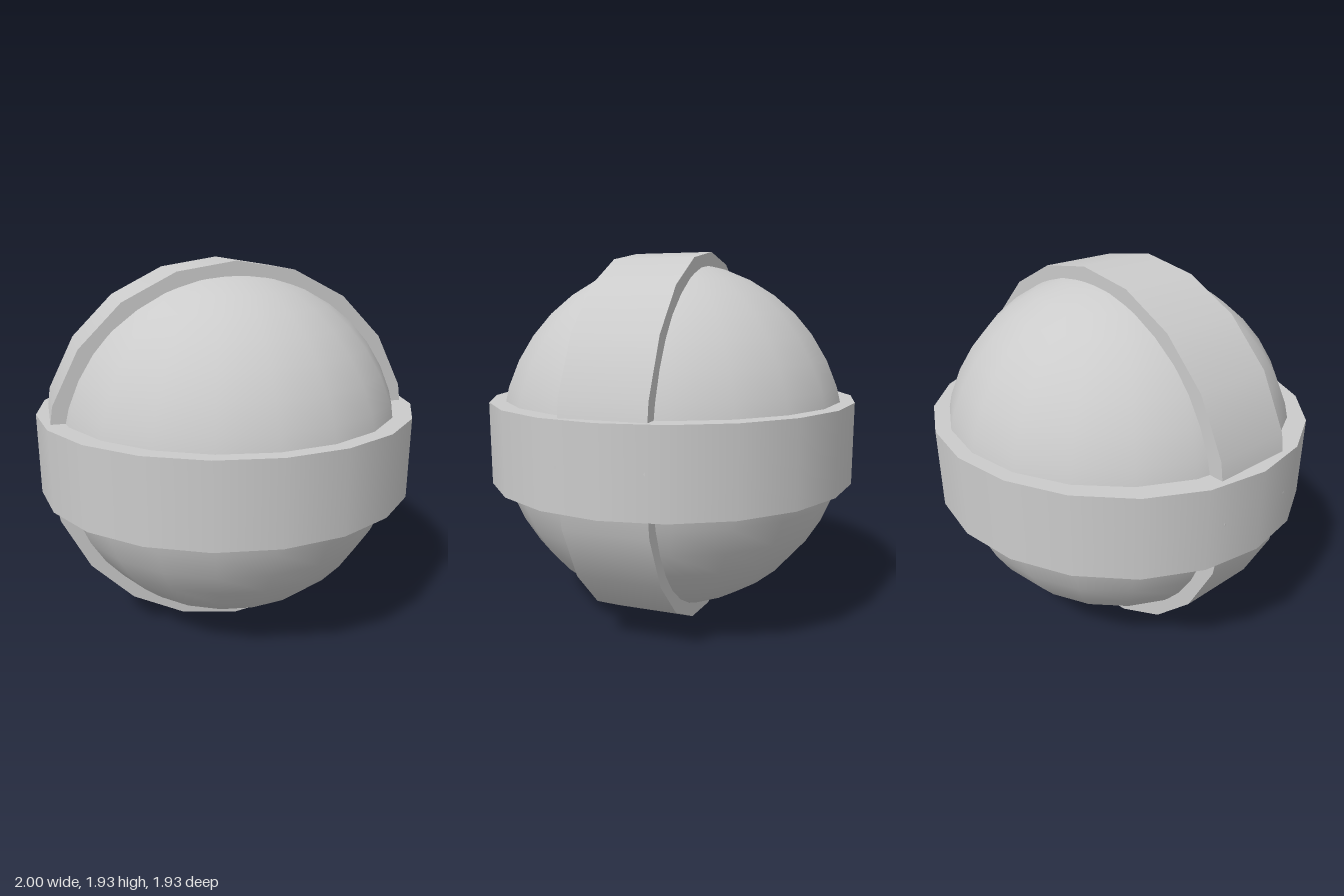
import * as THREE from 'three';

export function createModel() {
  const group = new THREE.Group();
  const material = new THREE.MeshStandardMaterial({ color: 0xcccccc });
  const centreY = 0.97;
  const bandWidth = 0.42;
  const sides = 20;

  function add(name, geometry) {
    const mesh = new THREE.Mesh(geometry, material);
    mesh.name = name;
    mesh.position.y = centreY;
    group.add(mesh);
    return mesh;
  }

  // Round core showing between the bands
  add('ball', new THREE.SphereGeometry(0.921, sides, sides));

  // Wide belt around the middle, slightly narrower front to back
  add('horizontalBand', new THREE.CylinderGeometry(1, 1, bandWidth, sides).scale(1, 1, 0.967));

  // Second belt running over the top and under the bottom
  add('verticalBand', new THREE.CylinderGeometry(0.967, 0.967, bandWidth, sides).rotateX(Math.PI / 2));

  return group;
}
